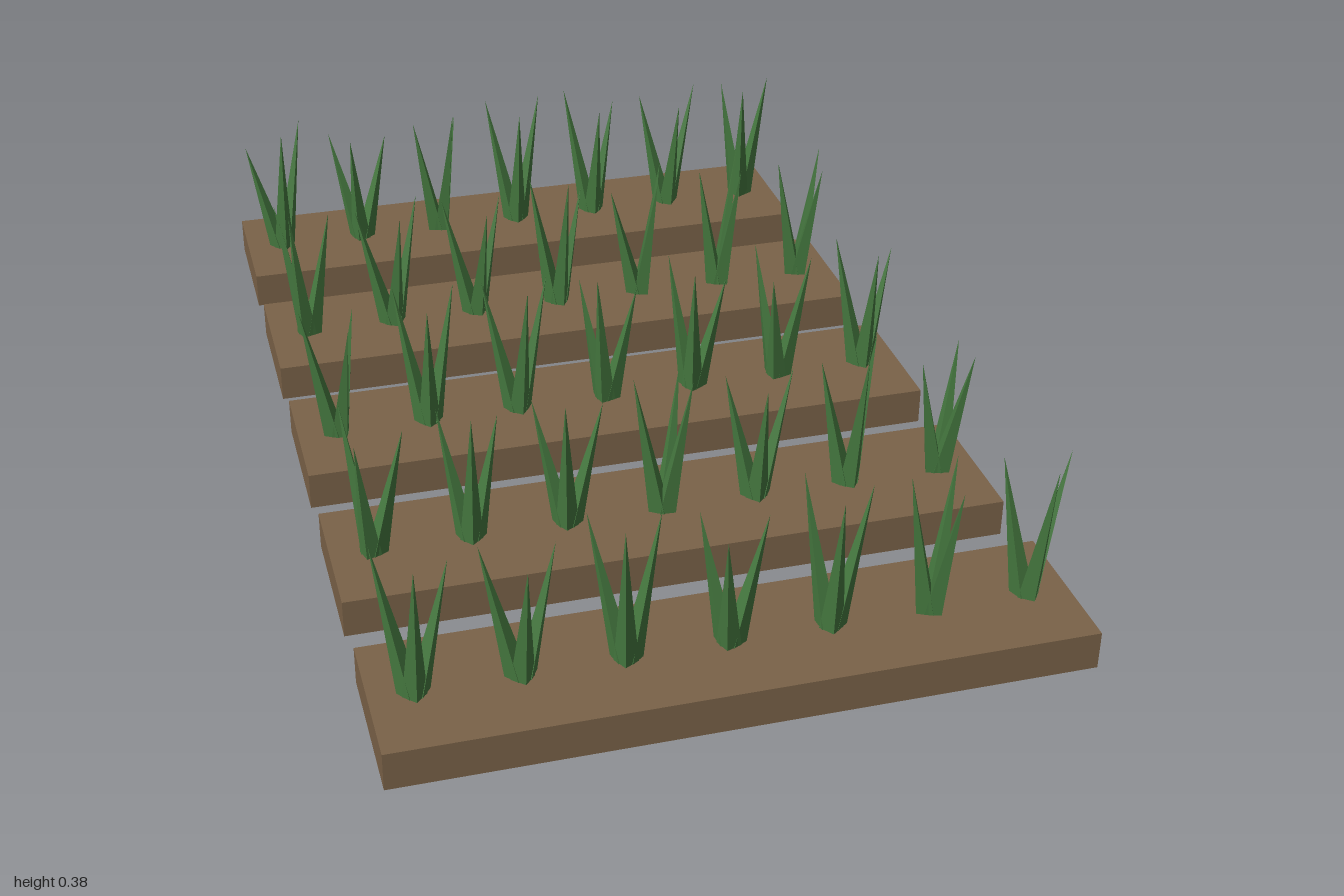
import * as THREE from 'three';

const BED = { width: 1.28, height: 0.075, depth: 0.292 };
const ROWS = [-0.854, -0.427, 0, 0.427, 0.854];
const COLUMNS = [-0.56, -0.373, -0.187, 0, 0.187, 0.373, 0.56];

// Turn of each plant in degrees, from +x towards +z, one list per bed
const TURNS = [
  [0, 20, -30, 0, 0, 0, 28],
  [30, -12, -5, -5, -20, -25, -25],
  [-30, 5, 0, 30, 25, 35, 5],
  [35, 12, 20, -30, 8, -10, -35],
  [0, 0, 25, 30, 20, -30, 5],
];

function seeded(seed) {
  return () => {
    seed = (seed * 16807) % 2147483647;
    return seed / 2147483647;
  };
}

// Four-sided tapering blade: flat foot at y = 0, tip leaning outwards along +x
function bladeGeometry(height, lean) {
  const g = new THREE.ConeGeometry(0.022, height, 4, 1);
  g.translate(0, height / 2, 0);
  const shear = new THREE.Matrix4().set(
    1, lean / height, 0, 0.008,
    0, 1, 0, 0,
    0, 0, 1, 0,
    0, 0, 0, 1,
  );
  g.applyMatrix4(shear);
  g.computeVertexNormals();
  return g;
}

export function createModel() {
  const model = new THREE.Group();
  model.name = 'plantedBeds';

  const soil = new THREE.MeshStandardMaterial({ color: 0x7a6248 });
  soil.name = 'soil brown';
  const leaf = new THREE.MeshStandardMaterial({ color: 0x467a40, flatShading: true });
  leaf.name = 'leaf green';

  const random = seeded(4271);
  const vary = (amount) => (random() - 0.5) * 2 * amount;
  const bedGeometry = new THREE.BoxGeometry(BED.width, BED.height, BED.depth);

  ROWS.forEach((z, r) => {
    const row = new THREE.Group();
    row.name = `bedRow${r + 1}`;
    row.position.z = z;

    // Soil slab
    const bed = new THREE.Mesh(bedGeometry, soil);
    bed.name = 'soilBed';
    bed.position.y = BED.height / 2;
    row.add(bed);

    // Plants, each of three blades spreading left, right and forwards
    COLUMNS.forEach((x, c) => {
      const plant = new THREE.Group();
      plant.name = `plant${c + 1}`;
      plant.position.set(x, BED.height, 0);
      plant.rotation.y = -THREE.MathUtils.degToRad(TURNS[r][c]);
      [-168, -12, 85].forEach((angle) => {
        const height = 0.28 + vary(0.03);
        const blade = new THREE.Mesh(bladeGeometry(height, 0.055 + vary(0.008)), leaf);
        blade.name = 'blade';
        blade.rotation.y = -THREE.MathUtils.degToRad(angle + vary(8));
        plant.add(blade);
      });
      row.add(plant);
    });
    model.add(row);
  });

  return model;
}
